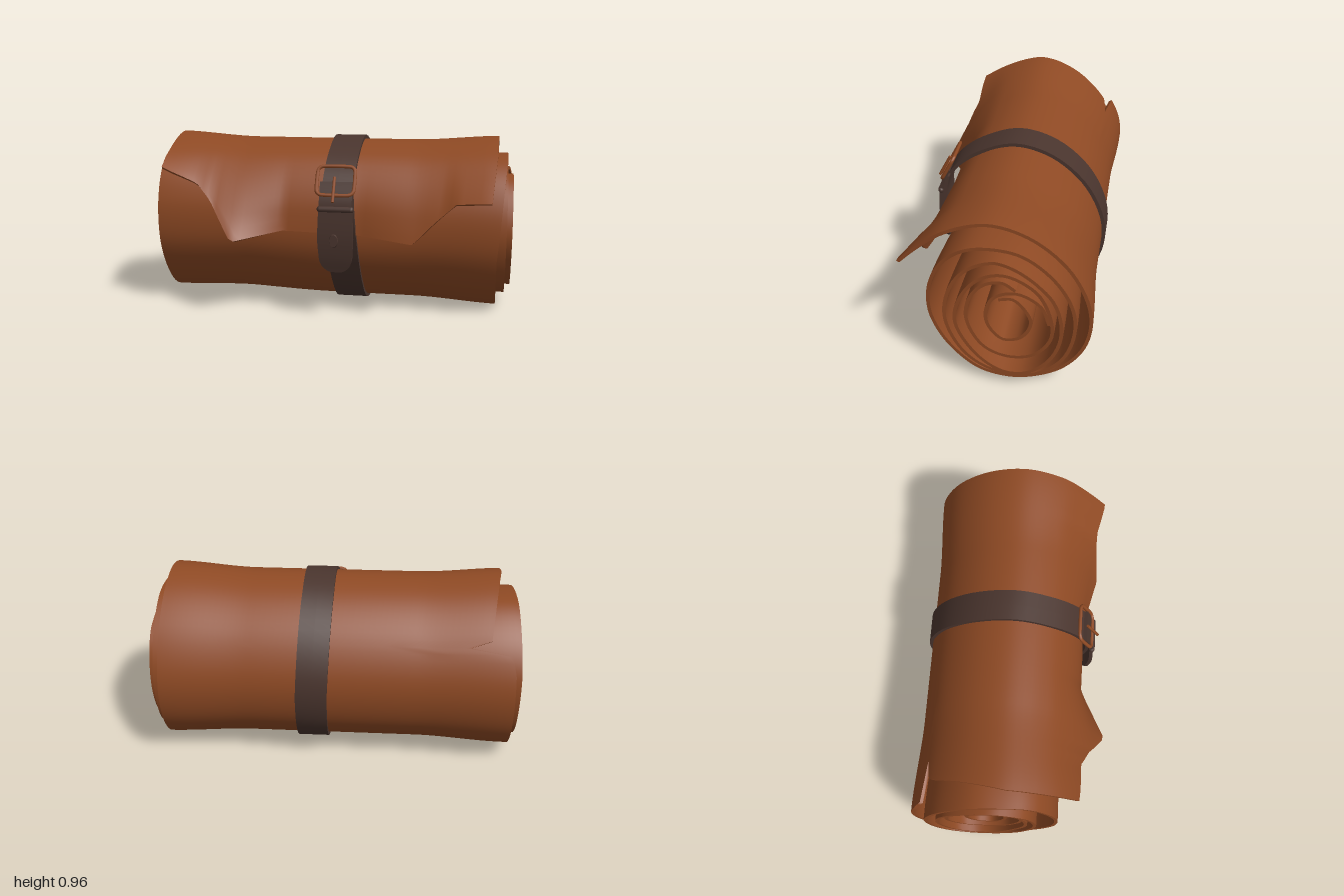
import * as THREE from 'three';
import { mergeGeometries } from 'three/addons/utils/BufferGeometryUtils.js';

const leather = new THREE.MeshStandardMaterial({ color: 0x8f4a24 });
leather.name = 'brown leather';
const dark = new THREE.MeshStandardMaterial({ color: 0x4a352e });
dark.name = 'dark strap leather';

const { clamp, smoothstep } = THREE.MathUtils;

// Piecewise linear lookup in a list of [key, value] pairs
function lookup(table, t) {
  if (t <= table[0][0]) return table[0][1];
  for (let i = 1; i < table.length; i++) {
    const [a, va] = table[i - 1], [b, vb] = table[i];
    if (t <= b) return va + (vb - va) * (t - a) / (b - a);
  }
  return table[table.length - 1][1];
}

function grid(rows, cols, fn, flip) {
  const pos = [], index = [];
  for (let j = 0; j <= rows; j++) for (let i = 0; i <= cols; i++) pos.push(...fn(j, i));
  for (let j = 0; j < rows; j++) for (let i = 0; i < cols; i++) {
    const a = j * (cols + 1) + i, b = a + 1, c = a + cols + 1, d = c + 1;
    if (flip) index.push(a, c, b, b, c, d);
    else index.push(a, b, c, b, d, c);
  }
  const g = new THREE.BufferGeometry();
  g.setAttribute('position', new THREE.Float32BufferAttribute(pos, 3));
  g.setIndex(index);
  g.computeVertexNormals();
  return g;
}

// Thick sheet: P(j, i) gives a point [x, y, z] and its normal in the y-z plane
function ribbon(rows, cols, half, P) {
  const at = (j, i, side) => {
    const { p, ny, nz } = P(j, i);
    return [p[0], p[1] + ny * half * side, p[2] + nz * half * side];
  };
  const rim = (c) => (c ? 1 : -1);
  return mergeGeometries([
    grid(rows, cols, (j, i) => at(j, i, 1), false),
    grid(rows, cols, (j, i) => at(j, i, -1), true),
    grid(rows, 1, (j, c) => at(j, 0, rim(c)), false),
    grid(rows, 1, (j, c) => at(j, cols, rim(c)), true),
    grid(cols, 1, (i, c) => at(0, i, rim(c)), true),
    grid(cols, 1, (i, c) => at(rows, i, rim(c)), false),
  ]);
}

// Smooth path through [z, y] points, addressed by point number
function makePath(points) {
  const curve = new THREE.CatmullRomCurve3(points.map(([z, y]) => new THREE.Vector3(0, y, z)));
  const last = points.length - 1;
  return { last, at: (k) => curve.getPoint(clamp(k / last, 0, 1)) };
}

// Point plus outward normal on a path function k -> Vector3
function frame(f, k, x, last) {
  const p = f(k), d = f(Math.min(k + 0.03, last)).sub(f(Math.max(k - 0.03, 0))).normalize();
  return { p: [x, p.y, p.z], ny: -d.z, nz: d.y };
}

// Roll section, from the flap at the front inwards
const roll = makePath([
  [.385, .42], [.38, .53], [.36, .65], [.3, .78], [.2, .89], [0, .962], [-.2, .915], [-.38, .77],
  [-.485, .58], [-.51, .42], [-.47, .25], [-.36, .11], [-.2, .03], [-.08, .015], [.06, .05], [.2, .18],
  [.28, .33], [.3, .46], [.28, .61], [.21, .75], [.1, .84], [-.03, .865], [-.18, .84], [-.33, .72],
  [-.42, .56], [-.435, .4], [-.38, .22], [-.25, .1], [-.1, .075], [.05, .13], [.15, .24], [.21, .42],
  [.18, .6], [.09, .73], [-.05, .79], [-.2, .745], [-.33, .62], [-.375, .42], [-.32, .24], [-.2, .13],
  [-.08, .125], [.05, .22], [.15, .42], [.12, .58], [.02, .71], [-.1, .745], [-.25, .66], [-.32, .5],
  [-.32, .36], [-.23, .24], [-.1, .21], [.02, .26], [.1, .42], [.08, .56], [.01, .65], [-.08, .675], [-.145, .635],
]);
const core = makePath([
  [-.06, .56], [-.13, .57], [-.19, .51], [-.22, .43], [-.17, .33], [-.08, .305], [-.01, .38],
  [.005, .47], [-.03, .56], [-.09, .6], [-.17, .605], [-.27, .54], [-.31, .43],
]);

// Ragged flap edge height, how far it curls out, and the side edges along the roll
const edgeY = [[-.9, .8], [-.7, .725], [-.62, .65], [-.47, .43], [-.22, .48], [.17, .47], [.5, .44], [.6, .56], [.7, .66], [.87, .67]];
const curl = [[-.9, .08], [-.7, .05], [-.6, .07], [-.47, .15], [-.22, .01], [.2, .01], [.5, .08], [.65, .06], [.87, .1]];
const yToK = [[.42, 0], [.53, 1], [.65, 2], [.78, 3], [.89, 4]];
const rightEdge = [[0, .86], [4, .91], [9, .925], [16, .92], [20, .965], [34, .97], [35.5, 1], [45, 1], [52, .97]];
// The right-hand end is torn at the upper back, with a slit running in from the tear
const leftEdge = [[0, -.9], [5, -.9], [6.5, -.85], [7.17, -.83], [7.33, -.72], [7.5, -.94], [8, -.96], [12, -.97], [20, -.97], [24, -1], [40, -1], [50, -.97]];
// How strongly each turn is pressed in at its lower front
const press = [[10, 0], [14, .1], [18, .11], [26, .25], [42, .25], [52, .16]];

// Narrower at the waist than at the ends; the lower front is also pressed in towards -x
function squeeze(v, x, k) {
  const dy = v.y - 0.45, dz = v.z + 0.1;
  const lowFront = Math.max(0, (dz * 0.8 - dy * 0.6) / Math.hypot(dy, dz));
  const pressed = lookup(press, k) * lowFront * smoothstep(-x, 0, 0.9);
  const s = 1 - 0.055 * (1 - smoothstep(Math.abs(x), 0.45, 0.95)) - pressed;
  return v.set(0, 0.45 + dy * s, -0.1 + dz * s);
}

function rollPoint(k, x) {
  const v = squeeze(roll.at(k), x, k);
  const k0 = lookup(yToK, lookup(edgeY, x));
  const t = clamp(1 - (k - k0) / (4.8 - k0), 0, 1);
  v.z += lookup(curl, x) * t * t;
  return v;
}

function rollGeometry() {
  const flapRows = 14, cols = 60, perStep = 6, kFlap = 4 + 1 / 3;
  const rows = flapRows + Math.round((roll.last - kFlap) * perStep);
  return ribbon(rows, cols, 0.009, (j, i) => {
    const v = i / cols;
    const k0 = lookup(yToK, lookup(edgeY, -.9 + 1.78 * v));
    const k = j < flapRows ? k0 + (kFlap - k0) * j / flapRows : kFlap + (j - flapRows) / perStep;
    const left = lookup(leftEdge, k);
    const x = left + (lookup(rightEdge, k) - left) * v;
    return frame((q) => rollPoint(q, x), k, x, roll.last);
  });
}

function coreGeometry() {
  const rows = core.last * 4, cols = 24;
  return ribbon(rows, cols, 0.009, (j, i) => {
    const x = -0.96 + 1.92 * i / cols;
    return frame((q) => squeeze(core.at(q), x, roll.last), j / 4, x, core.last);
  });
}

// Strap round the roll
function strapGeometry() {
  const pts = [[.36, .73], [.305, .8]];
  for (let k = 4; k <= 14; k++) {
    const { p, ny, nz } = frame((q) => rollPoint(q, 0.1), k, 0.1, roll.last);
    pts.push([p[2] + nz * 0.019, p[1] + ny * 0.019]);
  }
  pts.push([.2, .16], [.29, .29], [.345, .41], [.382, .52], [.39, .62], [.375, .71]);
  const path = makePath(pts);
  const shift = [[0, .08], [4, .088], [7, .108], [13, .108], [18, .08]];
  return ribbon(path.last * 4, 2, 0.01, (j, i) => {
    const k = j / 4;
    return frame(path.at, k, lookup(shift, k) + (i - 1) * 0.084, path.last);
  });
}

// Free end of the strap, rounded at the tip
function tailGeometry() {
  const path = makePath([[.387, .268], [.408, .35], [.42, .45], [.418, .56], [.408, .65], [.37, .75]]);
  const halfWidth = [[0, .03], [.15, .055], [.4, .075], [.8, .088], [2, .096], [4, .088]];
  const rows = 40;
  return ribbon(rows, 2, 0.01, (j, i) => {
    const k = path.last * (j / rows);
    return frame(path.at, k, 0.075 + (i - 1) * lookup(halfWidth, k), path.last);
  });
}

// Rounded rectangular buckle frame with its pin
function buckle() {
  const group = new THREE.Group();
  group.name = 'buckle';
  const w = 0.1, h = 0.08, r = 0.03, pts = [];
  for (const [cx, cy, a0] of [[1, 1, 0], [-1, 1, 1], [-1, -1, 2], [1, -1, 3]]) {
    for (let s = 0; s <= 4; s++) {
      const a = (a0 + s / 4) * Math.PI / 2;
      pts.push(new THREE.Vector3(cx * (w - r) + Math.cos(a) * r, cy * (h - r) + Math.sin(a) * r, 0));
    }
  }
  const ring = new THREE.CatmullRomCurve3(pts, true, 'centripetal');
  const frameMesh = new THREE.Mesh(new THREE.TubeGeometry(ring, 64, 0.01, 8, true), leather);
  frameMesh.name = 'buckleFrame';
  const pin = new THREE.Mesh(new THREE.CylinderGeometry(0.008, 0.008, 0.14, 8), leather);
  pin.name = 'bucklePin';
  pin.position.set(-0.005, -0.055, 0.016);
  group.add(frameMesh, pin);
  group.position.set(0.07, 0.758, 0.373);
  group.rotation.x = -0.48;
  return group;
}

export function createModel() {
  const model = new THREE.Group();
  model.name = 'rolledLeather';
  const add = (name, geometry, material) => {
    const mesh = new THREE.Mesh(geometry, material);
    mesh.name = name;
    model.add(mesh);
    return mesh;
  };
  add('rolledSheet', rollGeometry(), leather);
  add('innerRoll', coreGeometry(), leather);
  add('strap', strapGeometry(), dark);
  add('strapTail', tailGeometry(), dark);
  model.add(buckle());
  const keeper = add('strapKeeper', new THREE.CapsuleGeometry(0.017, 0.165, 4, 10), dark);
  keeper.rotation.z = Math.PI / 2;
  keeper.position.set(0.075, 0.612, 0.418);
  const stud = add('strapStud', new THREE.CylinderGeometry(0.022, 0.026, 0.014, 16), dark);
  stud.rotation.x = Math.PI / 2;
  stud.scale.z = 1.5;
  stud.position.set(0.068, 0.445, 0.431);
  return model;
}
